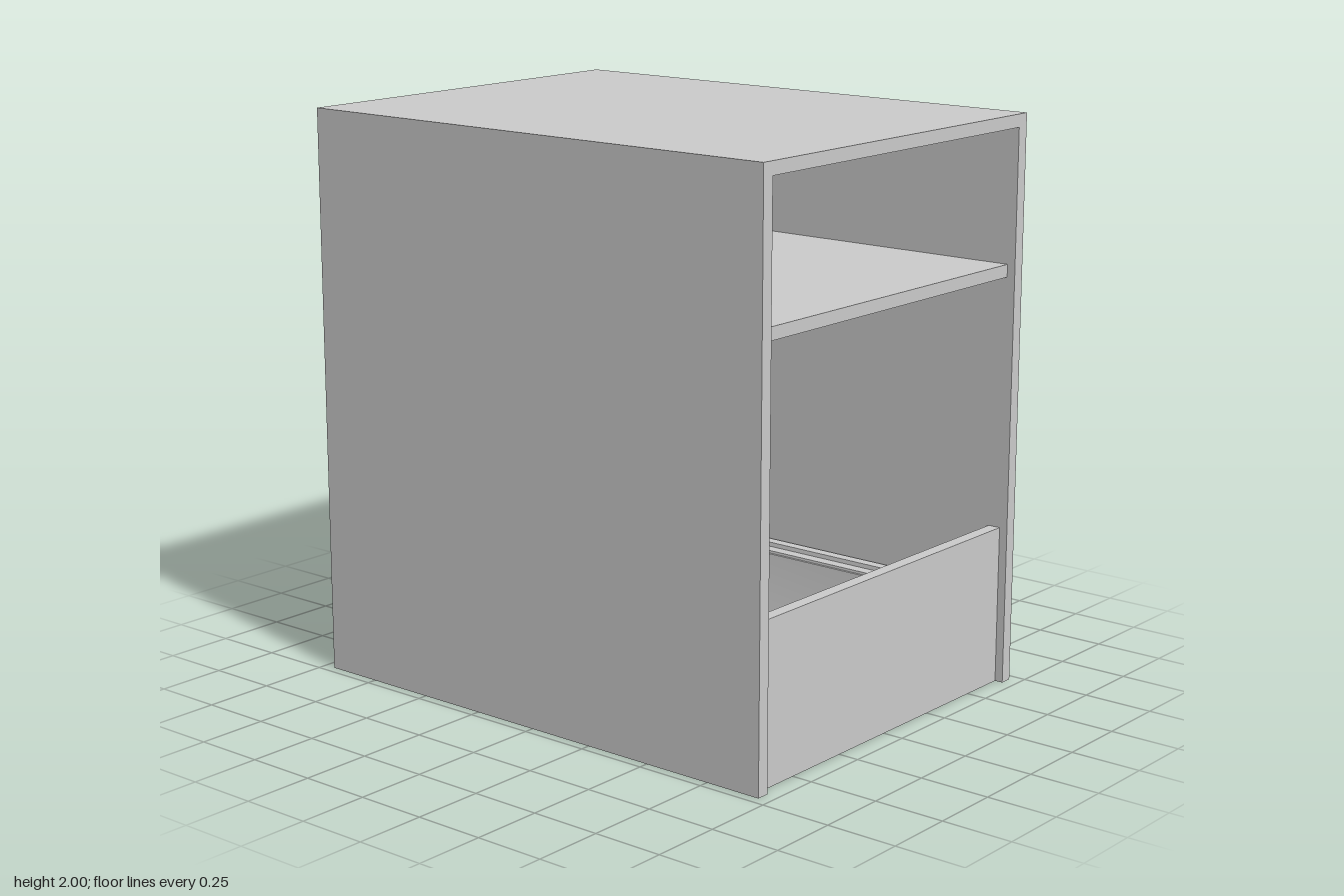
import * as THREE from 'three';
import { toCreasedNormals } from 'three/addons/utils/BufferGeometryUtils.js';

const W = 0.717, D = 0.957, T = 0.045, INSET = 0.03;
const material = new THREE.MeshStandardMaterial({ color: 0xcccccc });

// Panel given by its lower and upper corners
function panel(name, [x0, y0, z0], [x1, y1, z1]) {
  const mesh = new THREE.Mesh(new THREE.BoxGeometry(x1 - x0, y1 - y0, z1 - z0), material);
  mesh.position.set((x0 + x1) / 2, (y0 + y1) / 2, (z0 + z1) / 2);
  mesh.name = name;
  return mesh;
}

// Rounded rectangle of points, running round the y axis
function ring(hx, hz, r, y, steps = 10) {
  const points = [];
  [[1, 1], [-1, 1], [-1, -1], [1, -1]].forEach(([sx, sz], corner) => {
    for (let i = 0; i <= steps; i++) {
      const a = (corner + i / steps) * Math.PI / 2;
      points.push(sx * (hx - r) + r * Math.cos(a), y, sz * (hz - r) + r * Math.sin(a));
    }
  });
  return points;
}

// Thin tray: rounded rings lofted from the outside floor, over the rim, to the inside floor
function trayGeometry() {
  const hx = 0.66, hz = 0.88;
  // each entry: inset from the rim edge, height
  const outside = [[0.155, 0.004], [0.135, 0.01], [0.122, 0.023], [0.116, 0.045], [0.092, 0.31]];
  const rim = [[0, 0.323], [0, 0.335], [0.04, 0.335], [0.042, 0.32], [0.085, 0.32]];
  const inside = [[0.108, 0.07], [0.115, 0.045], [0.13, 0.026], [0.155, 0.016]];
  const profile = [...outside, ...rim, ...inside];
  const positions = profile.flatMap(([d, y]) => ring(hx - d, hz - d, 0.13 - d * 0.25, y));
  const n = positions.length / 3 / profile.length;
  const index = [];
  for (let k = 0; k < profile.length - 1; k++) {
    for (let i = 0; i < n; i++) {
      const a = k * n + i, b = k * n + (i + 1) % n;
      index.push(a, a + n, b, b, a + n, b + n);
    }
  }
  // floor, underside and top
  const last = (profile.length - 1) * n;
  for (let i = 1; i < n - 1; i++) {
    index.push(0, i, i + 1, last, last + i + 1, last + i);
  }
  const geometry = new THREE.BufferGeometry();
  geometry.setAttribute('position', new THREE.Float32BufferAttribute(positions, 3));
  geometry.setIndex(index);
  return toCreasedNormals(geometry, Math.PI / 5);
}

export function createModel() {
  const model = new THREE.Group();
  model.name = 'cabinet';
  const inner = W - T, edge = D - INSET;

  // Outer case
  model.add(panel('topPanel', [-W, 2 - T, -D], [W, 2, D]));
  model.add(panel('leftPanel', [inner, 0, -D], [W, 2 - T, D]));
  model.add(panel('rightPanel', [-W, 0, -D], [-inner, 2 - T, D]));

  // Shelf, full back and low front
  model.add(panel('shelf', [-inner, 1.443, -edge], [inner, 1.487, edge]));
  model.add(panel('backPanel', [-inner, 0, -edge], [inner, 1.443, -edge + T]));
  model.add(panel('frontPanel', [-inner, 0, edge - T], [inner, 0.56, edge]));

  // Rimmed tray standing inside
  const tray = new THREE.Mesh(trayGeometry(), material.clone());
  tray.material.side = THREE.DoubleSide;
  tray.name = 'tray';
  model.add(tray);
  return model;
}
